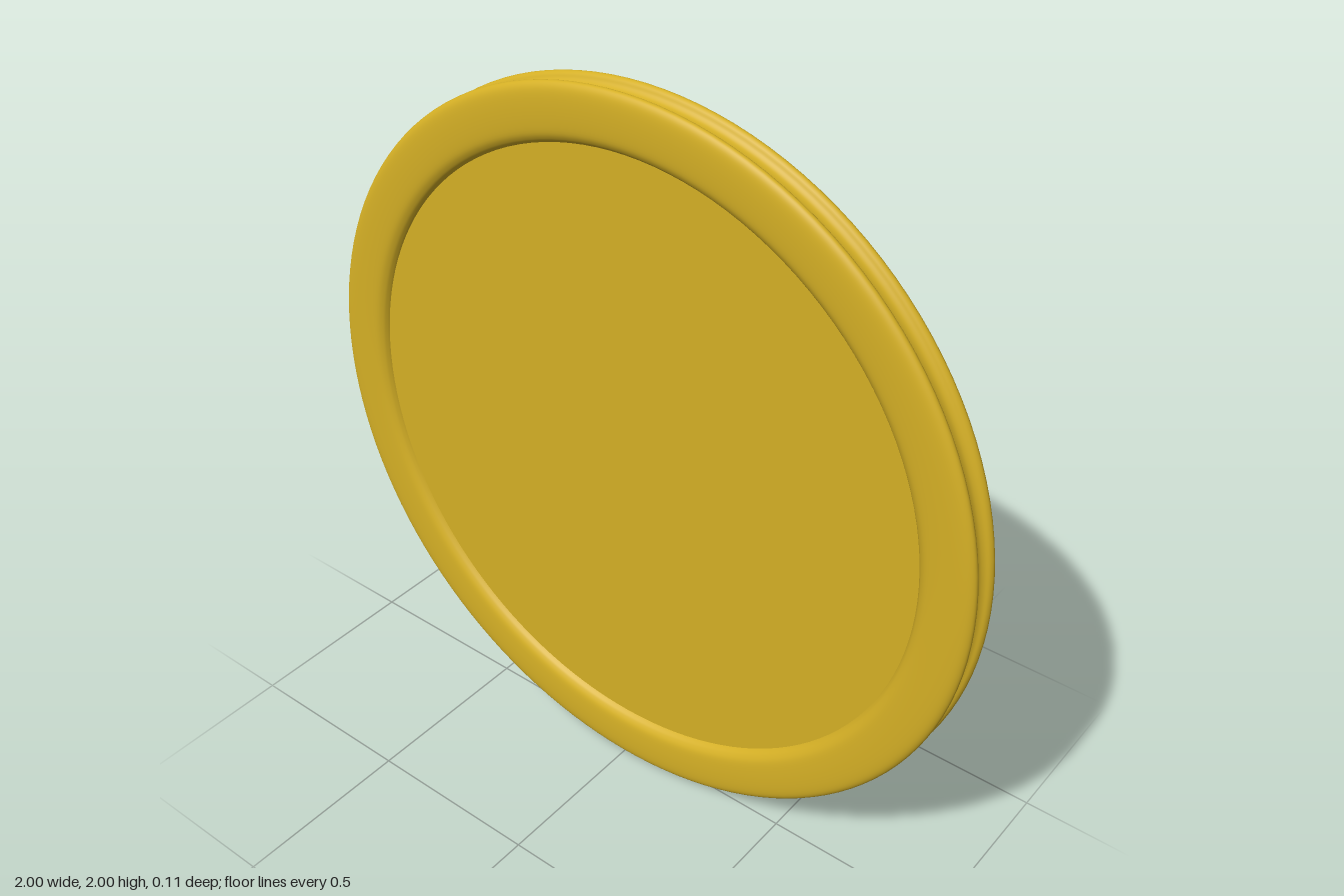
import * as THREE from 'three';

const RADIUS = 1;
const FLOOR_RADIUS = 0.85;
const FLOOR_Z = 0.03;

export function createModel() {
  const group = new THREE.Group();
  group.name = 'disc';
  const material = new THREE.MeshStandardMaterial({ color: 0xd4af25 });

  // Half cross-section of the rim (radius, z): edge groove, rounded lip, inner wall
  const half = [
    [0.976, 0], [0.978, 0.012], [0.985, 0.021], [0.995, 0.027], [RADIUS, 0.036],
    [0.996, 0.045], [0.982, 0.052], [0.955, 0.055], [0.915, 0.055],
    [0.88, 0.052], [0.862, 0.044], [0.854, 0.036], [FLOOR_RADIUS, FLOOR_Z],
  ];
  const back = half.slice(1).reverse().map(([r, z]) => new THREE.Vector2(r, -z));
  const front = half.map(([r, z]) => new THREE.Vector2(r, z));
  const profile = new THREE.SplineCurve([...back, ...front]).getPoints(96);

  // Grooved rim, turned about the z axis
  const rimGeometry = new THREE.LatheGeometry(profile, 128);
  rimGeometry.rotateX(Math.PI / 2);
  const rim = new THREE.Mesh(rimGeometry, material);
  rim.name = 'rim';
  group.add(rim);

  // Recessed face on each side
  for (const side of [1, -1]) {
    const face = new THREE.Mesh(new THREE.CircleGeometry(FLOOR_RADIUS + 0.001, 128), material);
    face.name = side > 0 ? 'frontFace' : 'backFace';
    face.position.z = side * FLOOR_Z;
    if (side < 0) face.rotation.y = Math.PI;
    group.add(face);
  }

  // Stand the disc on the ground
  group.children.forEach((part) => { part.position.y = RADIUS; });
  return group;
}
